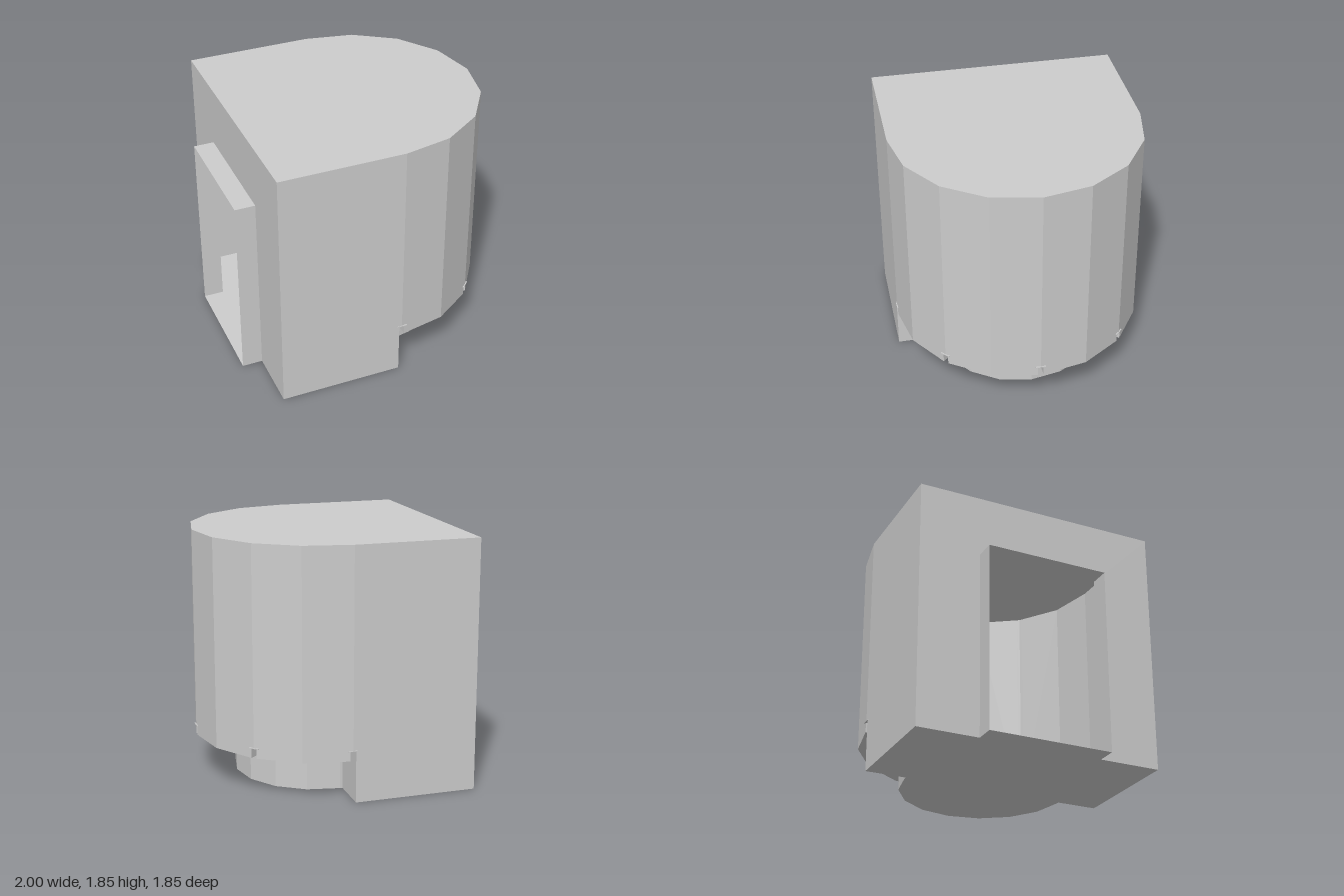
import * as THREE from 'three';

const CX = 0.075, R = 0.92, RI = 0.615;          // centre and radii of the rounded end
const BACK = -0.85, FRONT = 0.055, TOP = 1.85;   // straight walls and height
const RIM = 0.31, SOFFIT = 0.295;                // underside of the overhang
const SLOT = 0.02, SLOT_OUT = 0.385, SLOT_IN = 0.33;
const DOOR_X = -1, DOOR_Z = 0.46, DOOR_Y = 1.39;

export function createModel() {
  const group = new THREE.Group();
  const grey = new THREE.MeshStandardMaterial({ color: 0xcccccc, side: THREE.DoubleSide });
  grey.name = 'plain grey';

  const add = (name, geometry) => {
    const mesh = new THREE.Mesh(geometry, grey);
    mesh.name = name;
    group.add(mesh);
    return mesh;
  };
  // Mesh from a list of four-cornered faces
  const addQuads = (name, quads) => {
    const pos = [];
    for (const [a, b, c, d] of quads) pos.push(...a, ...b, ...c, ...a, ...c, ...d);
    const g = new THREE.BufferGeometry();
    g.setAttribute('position', new THREE.Float32BufferAttribute(pos, 3));
    g.computeVertexNormals();
    return add(name, g);
  };
  const at = (p, y) => [p[0], y, p[1]];
  const wall = (a, b, y0, y1) => [at(a, y0), at(b, y0), at(b, y1), at(a, y1)];
  const ring = (r) => Array.from({ length: 9 }, (_, k) => {
    const t = k * Math.PI / 8;
    return [CX + r * Math.sin(t), r * Math.cos(t)];
  });
  const outer = ring(R), inner = ring(RI);

  // Flat horizontal slab faces
  const plate = (name, points, y) => {
    const g = new THREE.ShapeGeometry(new THREE.Shape(points.map(([x, z]) => new THREE.Vector2(x, -z))));
    g.rotateX(-Math.PI / 2);
    add(name, g).position.y = y;
  };
  plate('roof', [[BACK, R], ...outer, [BACK, -R]], TOP);
  plate('floor', [[BACK, R], [FRONT, R], [FRONT, RI], ...inner, [FRONT, -RI], [FRONT, -R], [BACK, -R]], 0);
  plate('doorwayFloor', [[DOOR_X, DOOR_Z], [BACK, DOOR_Z], [BACK, -DOOR_Z], [DOOR_X, -DOOR_Z]], 0);

  // Straight side walls
  addQuads('sideWalls', [1, -1].map((s) => wall([BACK, s * R], [FRONT, s * R], 0, TOP)));

  // Rear wall, open at the doorway
  const rear = new THREE.Shape([[-R, 0], [-DOOR_Z, 0], [-DOOR_Z, DOOR_Y], [DOOR_Z, DOOR_Y], [DOOR_Z, 0],
    [R, 0], [R, TOP], [-R, TOP]].map(([z, y]) => new THREE.Vector2(z, y)));
  const rearGeometry = new THREE.ShapeGeometry(rear);
  rearGeometry.rotateY(-Math.PI / 2);
  add('rearWall', rearGeometry).position.x = BACK;

  // Thin hood around the doorway
  addQuads('doorwayHood', [
    ...[1, -1].map((s) => wall([DOOR_X, s * DOOR_Z], [BACK, s * DOOR_Z], 0, DOOR_Y)),
    [[DOOR_X, DOOR_Y, DOOR_Z], [BACK, DOOR_Y, DOOR_Z], [BACK, DOOR_Y, -DOOR_Z], [DOOR_X, DOOR_Y, -DOOR_Z]],
  ]);

  const curved = [], soffit = [], slots = [], plinth = [];
  // Point on the line a-b at the slot's half width from the radial line through a
  const slotEdge = (a, b) => {
    const len = Math.hypot(a[0] - CX, a[1]);
    const tx = -a[1] / len, tz = (a[0] - CX) / len;
    const f = SLOT / Math.abs((b[0] - a[0]) * tx + (b[1] - a[1]) * tz);
    return [a[0] + (b[0] - a[0]) * f, a[1] + (b[1] - a[1]) * f];
  };
  // Half of a radial slot that climbs outward
  const halfSlot = (E, e, O, o) => {
    const P = slotEdge(E, O), p = slotEdge(e, o);
    curved.push(wall(E, P, SLOT_OUT, TOP));
    slots.push([at(E, SLOT_OUT), at(P, SLOT_OUT), at(p, SLOT_IN), at(e, SLOT_IN)]);
    slots.push([at(P, RIM), at(P, SLOT_OUT), at(p, SLOT_IN), at(p, SOFFIT)]);
    plinth.push(wall(e, p, 0, SLOT_IN));
    return [P, p];
  };

  // Faceted end: each facet has a slot at its even corner
  for (let k = 0; k < 8; k++) {
    const i = k % 2 ? k + 1 : k, j = k % 2 ? k : k + 1;
    const O = outer[j], o = inner[j];
    const [P, p] = halfSlot(outer[i], inner[i], O, o);
    curved.push(wall(P, O, RIM, TOP));
    soffit.push([at(P, RIM), at(O, RIM), at(o, SOFFIT), at(p, SOFFIT)]);
    plinth.push(wall(p, o, 0, SOFFIT));
  }
  // End slots next to the straight walls, and the step faces below them
  for (const k of [0, 8]) {
    const E = outer[k], e = inner[k];
    const [P, p] = halfSlot(E, e, [E[0] - 1, E[1]], [e[0] - 1, e[1]]);
    plinth.push([at(P, 0), at(p, 0), at(p, SOFFIT), at(P, RIM)]);
  }
  addQuads('curvedWall', curved);
  addQuads('overhangUnderside', soffit);
  addQuads('radialSlots', slots);
  addQuads('plinth', plinth);

  // Small lintel over each slot
  for (let k = 0; k <= 8; k += 2) {
    const lintel = add('slotLintel', new THREE.BoxGeometry(0.075, 0.006, 0.01));
    lintel.position.set(outer[k][0], SLOT_OUT, outer[k][1]);
    lintel.rotation.y = k * Math.PI / 8;
  }
  return group;
}
